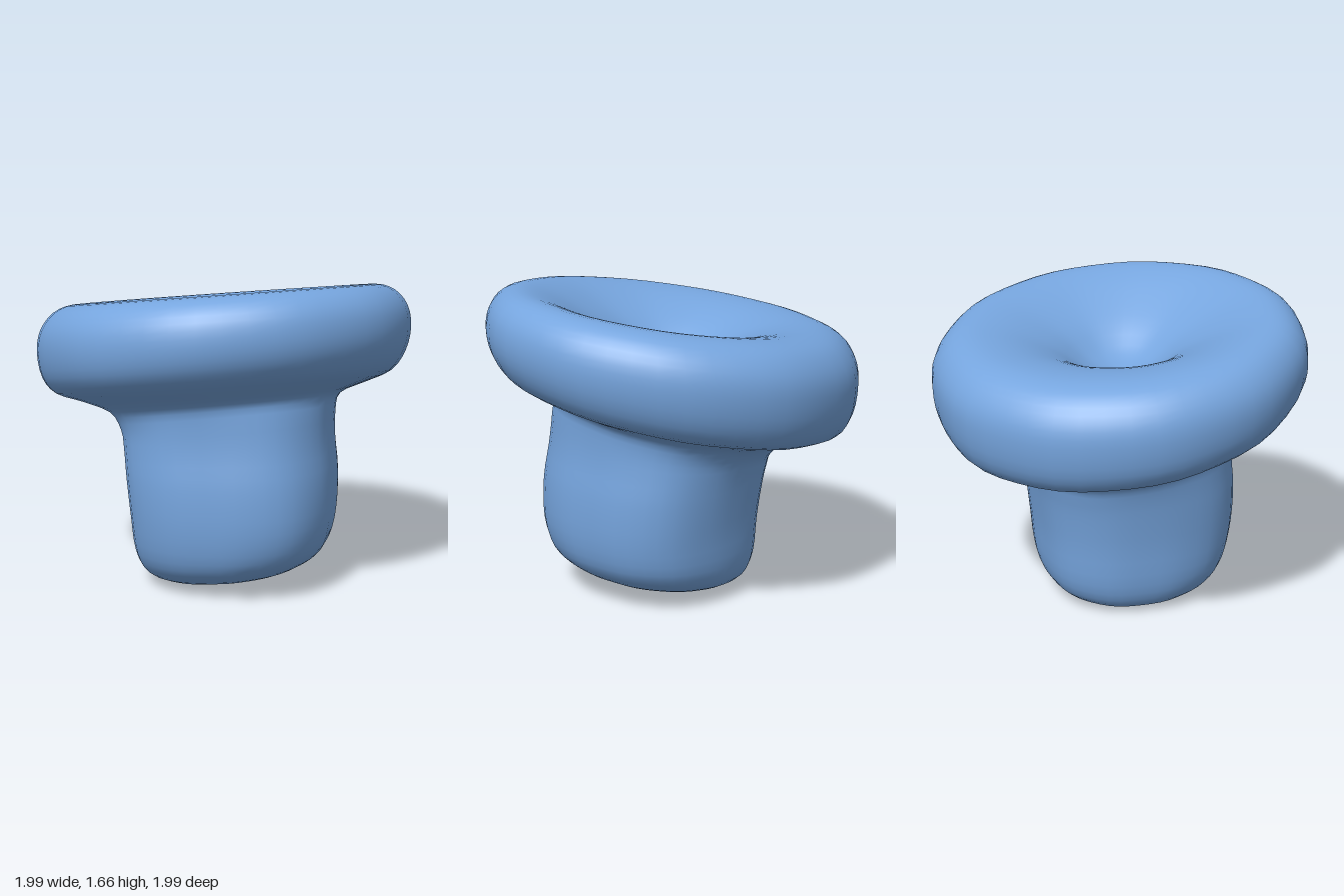
import * as THREE from 'three';

// Rings from the underside of the stem, up and over the cap, into the hollow:
// [radius, height, centre offset (x and z), tilt towards +x +z, squareness 0..1, tilt towards +x -z]
const RINGS = [
  [0.0, 0.035, 0.02, 0.06, 0.3, 0.05],
  [0.18, 0.03, 0.03, 0.06, 0.3, 0.05],
  [0.34, 0.042, 0.045, 0.06, 0.3, 0.05],
  [0.455, 0.1, 0.06, 0.055, 0.5, 0.04],
  [0.515, 0.21, 0.075, 0.03, 0.8, 0.02],
  [0.54, 0.4, 0.085, 0, 1, 0],
  [0.552, 0.6, 0.075, 0.02, 1, 0],
  [0.552, 0.75, 0.055, 0.07, 0.9, 0],
  [0.565, 0.865, 0.04, 0.13, 0.6, 0],
  [0.615, 0.96, 0.012, 0.14, 0.3, -0.01],
  [0.76, 1.02, 0.0, 0.13, 0, -0.015],
  [0.9, 1.075, 0, 0.13, 0, -0.015],
  [0.972, 1.175, 0, 0.12, 0, -0.005],
  [0.996, 1.31, 0, 0.1, 0, 0],
  [0.975, 1.425, 0, 0.1, 0, 0],
  [0.905, 1.513, 0, 0.1, 0, 0],
  [0.8, 1.55, 0, 0.1, 0, 0],
  [0.66, 1.533, 0, 0.09, 0, 0],
  [0.5, 1.478, 0, 0.07, 0, 0],
  [0.34, 1.398, 0, 0.05, 0, 0],
  [0.18, 1.288, 0.005, 0.02, 0, 0],
  [0.0, 1.23, 0.005, 0, 0, 0],
];
const SEGMENTS = 48;
const STEPS = 3;

function loftGeometry() {
  // Smooth the ring values along the profile
  const size = new THREE.CatmullRomCurve3(
    RINGS.map(([r, y, c]) => new THREE.Vector3(r, y, c)), false, 'catmullrom', 0.5);
  const form = new THREE.CatmullRomCurve3(
    RINGS.map(([, , , t, s, k]) => new THREE.Vector3(t, s, k)), false, 'catmullrom', 0.5);
  const rows = (RINGS.length - 1) * STEPS;
  const positions = [];
  const indices = [];
  for (let i = 0; i <= rows; i++) {
    const { x: r, y, z: c } = size.getPoint(i / rows);
    const { x: tilt, y: square, z: skew } = form.getPoint(i / rows);
    const power = 2 + 0.6 * square;
    for (let j = 0; j < SEGMENTS; j++) {
      const a = (j / SEGMENTS) * Math.PI * 2;
      const ca = Math.cos(a), sa = Math.sin(a);
      // Rounded-square section with a slight hand-shaped wobble
      const bulge = Math.pow(Math.abs(ca) ** power + Math.abs(sa) ** power, -1 / power);
      const wobble = 1 + 0.004 * Math.sin(11 * a - 2 * y);
      const radius = Math.max(r, 0.0005) * bulge * wobble;
      const x = c + radius * ca;
      const z = c + radius * sa;
      positions.push(x, Math.max(0, y + tilt * (x + z) + skew * (x - z)), z);
      if (i === rows) continue;
      const n = (j + 1) % SEGMENTS;
      const p = i * SEGMENTS + j, q = i * SEGMENTS + n;
      indices.push(p, p + SEGMENTS, q, q, p + SEGMENTS, q + SEGMENTS);
    }
  }
  const geometry = new THREE.BufferGeometry();
  geometry.setAttribute('position', new THREE.Float32BufferAttribute(positions, 3));
  geometry.setIndex(indices);
  geometry.computeVertexNormals();
  return geometry;
}

export function createModel() {
  const group = new THREE.Group();
  group.name = 'hollowTopStopper';

  const blue = new THREE.MeshStandardMaterial({ color: 0x76a5de });
  blue.name = 'soft blue';

  // Stem and dished cap in one continuous skin
  const body = new THREE.Mesh(loftGeometry(), blue);
  body.name = 'stemAndCap';
  group.add(body);
  return group;
}
